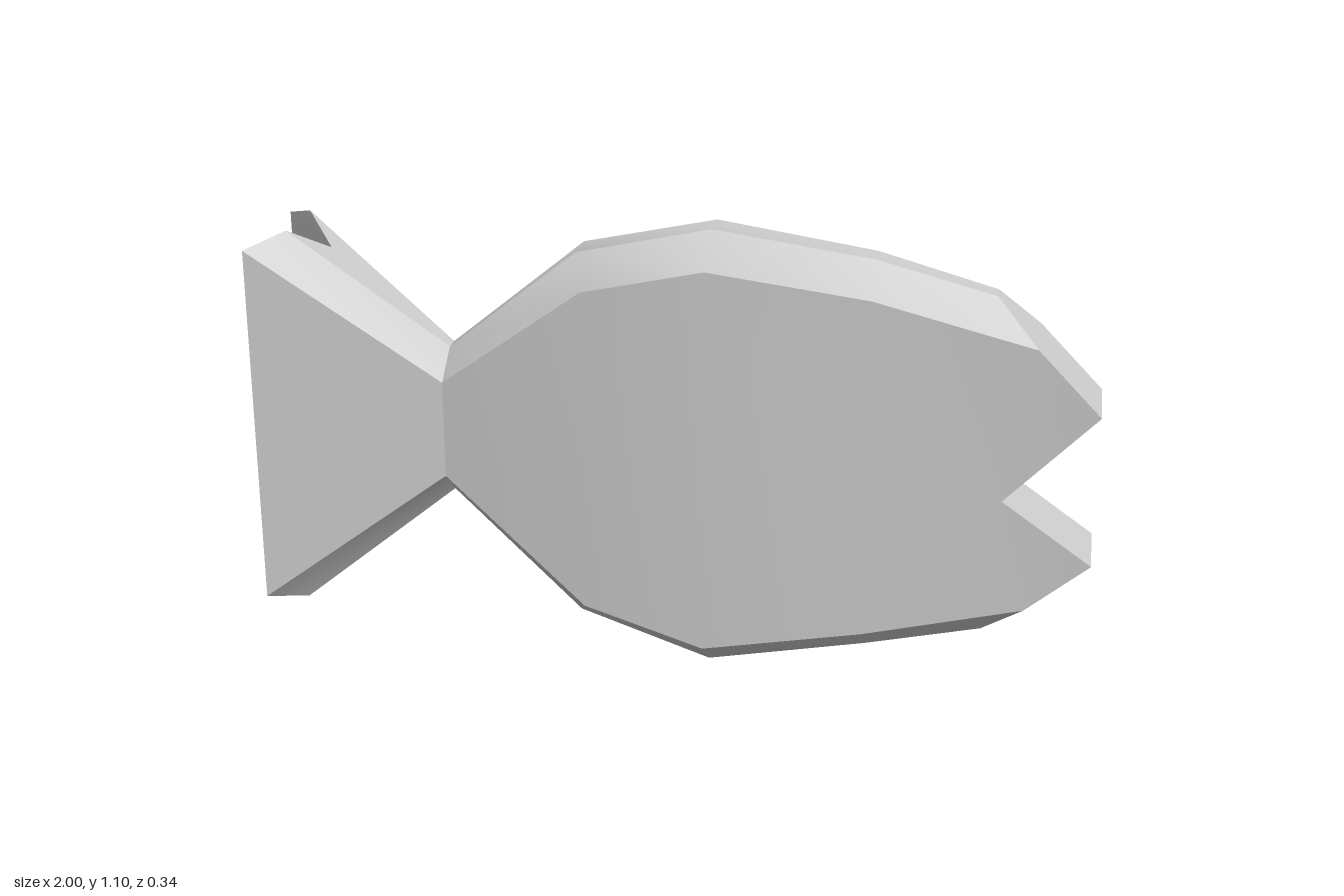
import * as THREE from 'three';
import { toCreasedNormals } from 'three/addons/utils/BufferGeometryUtils.js';

// Bevelled ring: ridge (x, top, bottom, half width), flank (x, top, bottom, half width).
// Points run from the top centre over +z to the bottom and back over -z.
function ring([xr, rt, rb, rz], [xf, ft, fb, fz], top = [xr, rt, 0], bottom = [xr, rb, 0]) {
  return [
    top, [xr, rt, rz], [xf, ft, fz], [xf, fb, fz], [xr, rb, rz],
    bottom, [xr, rb, -rz], [xf, fb, -fz], [xf, ft, -fz], [xr, rt, -rz],
  ];
}

// Collects convex faces as triangle fans
function shell() {
  const pos = [];
  const fan = (...p) => {
    for (let i = 1; i < p.length - 1; i++) pos.push(...p[0], ...p[i], ...p[i + 1]);
  };
  const skin = (a, b, skip = []) => {
    for (let i = 0; i < 10; i++) {
      const j = (i + 1) % 10;
      if (!skip.includes(i)) fan(a[i], a[j], b[j], b[i]);
    }
  };
  const mesh = (name) => {
    const geo = new THREE.BufferGeometry();
    geo.setAttribute('position', new THREE.Float32BufferAttribute(pos, 3));
    const m = new THREE.Mesh(toCreasedNormals(geo, 0.5), new THREE.MeshStandardMaterial({ color: 0xcccccc }));
    m.name = name;
    return m;
  };
  return { fan, skin, mesh };
}

export function createModel() {
  const group = new THREE.Group();
  group.name = 'fish';

  // Cross-sections from neck to nose
  const neck = ring([-0.55, 0.77, 0.40, 0.02], [-0.55, 0.705, 0.465, 0.10]);
  const rings = [
    neck,
    ring([-0.23, 1.03, 0.11, 0.045], [-0.20, 0.965, 0.17, 0.15]),
    ring([0.09, 1.10, 0.0, 0.042], [0.09, 1.03, 0.08, 0.153]),
    ring([0.47, 1.045, 0.07, 0.035], [0.47, 0.975, 0.14, 0.13]),
    ring([0.75, 0.97, 0.13, 0.027], [0.85, 0.87, 0.22, 0.10]),
  ];

  // Body; the last flank panels are left out and closed around the mouth
  const body = shell();
  for (let i = 0; i < 4; i++) body.skin(rings[i], rings[i + 1], i === 3 ? [2, 7] : []);
  const [r, n] = [rings[3], rings[4]];
  const pair = (x, y) => [[x, y, 0.10], [x, y, -0.10]];
  const [u, uBack] = pair(1, 0.715);
  const [m, mBack] = pair(0.785, 0.495);
  const [l, lBack] = pair(1, 0.345);
  body.fan(m, u, n[2], r[2], r[3], n[3], l); // left cheek
  body.fan(mBack, lBack, n[7], r[7], r[8], n[8], uBack); // right cheek
  body.fan(n[0], n[1], n[2], u, uBack, n[8], n[9]); // upper nose
  body.fan(n[5], n[6], n[7], lBack, l, n[3], n[4]); // chin
  body.fan(u, m, mBack, uBack); // open mouth
  body.fan(m, l, lBack, mBack);
  group.add(body.mesh('body'));

  // Tail flares from the neck and ends in a vertical V groove
  const tail = shell();
  const t = ring([-0.92, 1.06, 0.11, 0.09], [-1, 1.03, 0.14, 0.172], [-0.84, 0.997, 0], [-0.84, 0.173, 0]);
  tail.skin(t, neck);
  tail.fan(t[0], t[5], t[4], t[3], t[2], t[1]);
  tail.fan(t[0], t[9], t[8], t[7], t[6], t[5]);
  group.add(tail.mesh('tail'));

  return group;
}
